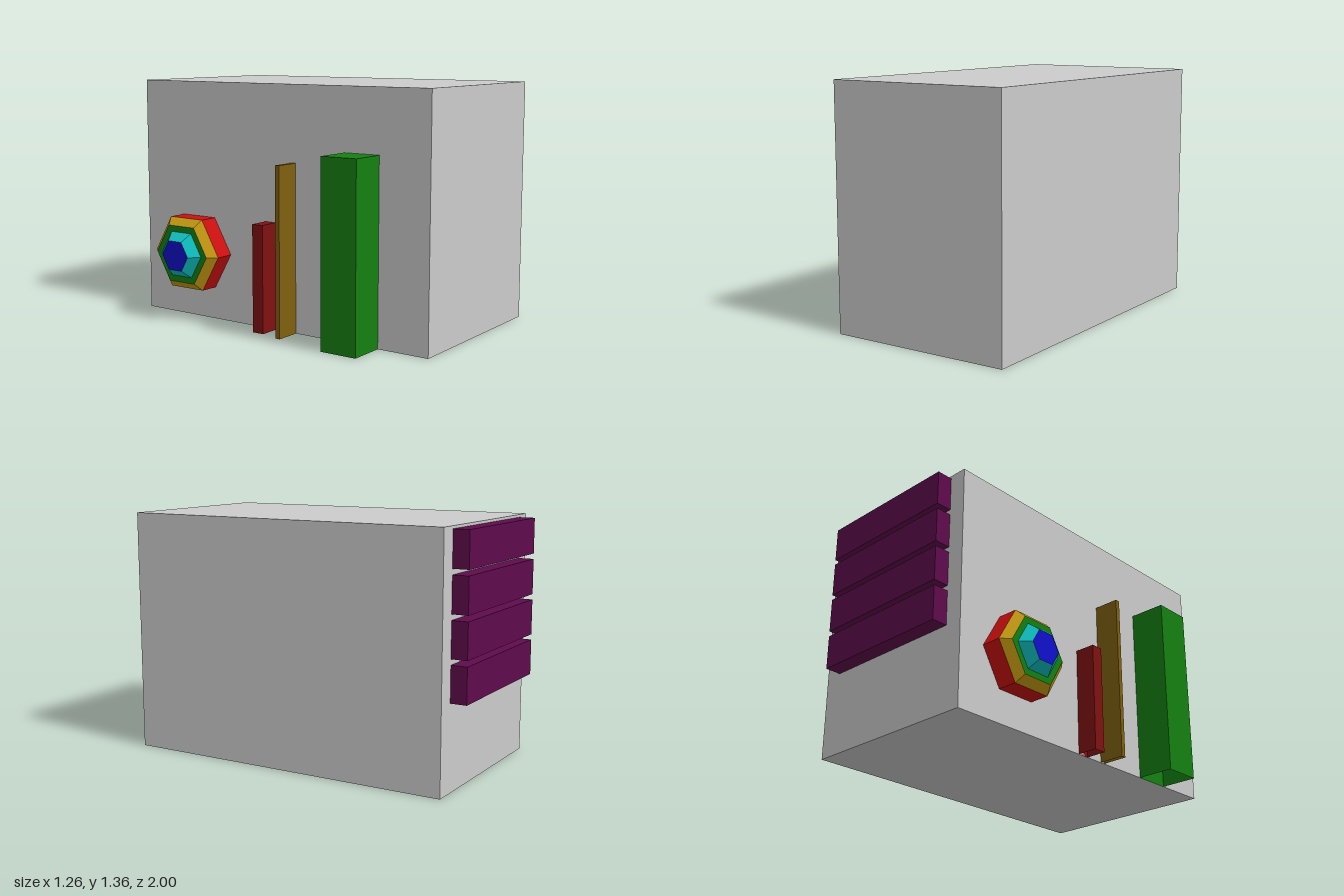
import * as THREE from 'three';

const paint = (color) => new THREE.MeshStandardMaterial({ color, flatShading: true, side: THREE.DoubleSide });

// Box given by its minimum and maximum corners
function block(name, min, max, color, openBottom = false) {
  const size = max.map((v, i) => v - min[i]);
  const geometry = new THREE.BoxGeometry(...size);
  if (openBottom) {
    // drop the -y side (fourth group of six indices)
    const index = Array.from(geometry.index.array);
    index.splice(18, 6);
    geometry.setIndex(index);
    geometry.clearGroups();
  }
  const mesh = new THREE.Mesh(geometry, paint(color));
  mesh.name = name;
  mesh.position.set(...max.map((v, i) => (v + min[i]) / 2));
  return mesh;
}

export function createModel() {
  const model = new THREE.Group();
  model.name = 'model';
  const wallX = -0.42;

  // Main body
  model.add(block('body', [wallX, 0, -0.91], [0.63, 1.355, 1], 0xcccccc));

  // Stacked slats on the back
  const slats = new THREE.Group();
  slats.name = 'backSlats';
  for (let i = 0; i < 4; i++) {
    const y = 0.47 + i * 0.225;
    slats.add(block('slat', [-0.32, y, -1], [0.53, y + 0.195, -0.91], 0x5f0c4c));
  }
  model.add(slats);

  // Hollow upright posts along the side wall
  model.add(block('widePost', [-0.63, 0, 0.485], [wallX, 1.01, 0.7], 0x158012, true));
  model.add(block('thinPost', [-0.565, 0, 0.145], [wallX, 0.935, 0.172], 0x806010, true));
  model.add(block('shortPost', [-0.535, 0, -0.035], [wallX, 0.6, 0.035], 0x801212, true));

  // Stepped hexagonal knob: each ring runs from [radius, depth] to the next
  const knob = new THREE.Group();
  knob.name = 'sideKnob';
  const profile = [[0.233, 0], [0.233, 0.11], [0.185, 0.155], [0.145, 0.155], [0.095, 0.21], [0, 0.21]];
  const rings = [
    ['knobRim', 0xcc1010], ['knobBevel', 0xc89b12], ['knobStep', 0x128012],
    ['knobCone', 0x10c0c0], ['knobCap', 0x1010cc],
  ];
  rings.forEach(([name, color], i) => {
    const points = [profile[i], profile[i + 1]].map(([r, d]) => new THREE.Vector2(r, d));
    const ring = new THREE.Mesh(new THREE.LatheGeometry(points, 6), paint(color));
    ring.name = name;
    knob.add(ring);
  });
  knob.rotation.z = Math.PI / 2; // axis points out of the wall, towards -x
  knob.position.set(wallX, 0.385, -0.517);
  model.add(knob);

  return model;
}
